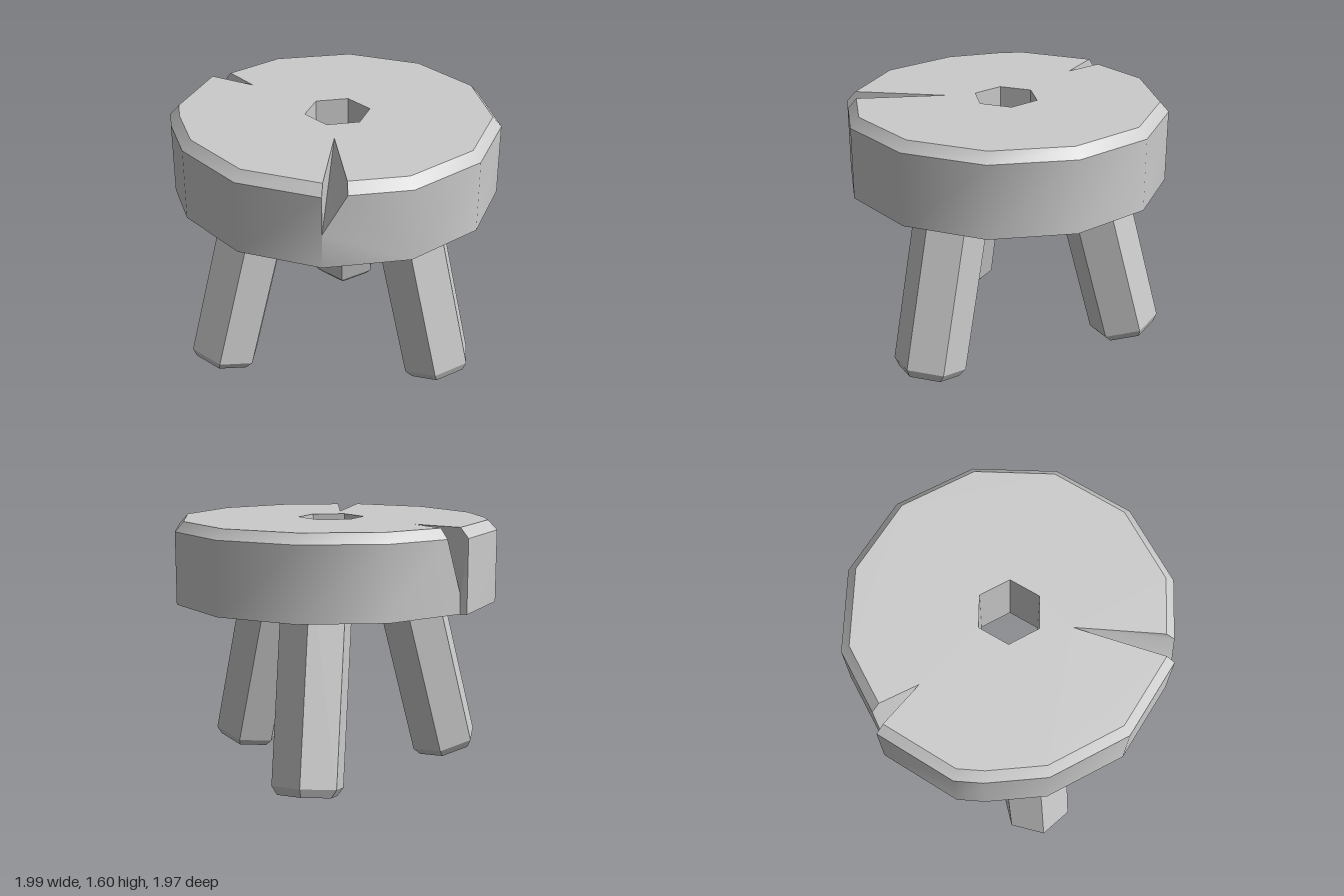
import * as THREE from 'three';
import { toCreasedNormals } from 'three/addons/utils/BufferGeometryUtils.js';

const BOTTOM = 1.1, EDGE = 1.54, TOP = 1.6;
const CENTER = 0.015, RADIUS = 0.985;
const material = new THREE.MeshStandardMaterial({ color: 0xcccccc });

// Plan points are (x, -z), so counter-clockwise as seen from above.
const polar = (r, degrees) => {
  const a = THREE.MathUtils.degToRad(degrees);
  return new THREE.Vector2(CENTER + r * Math.cos(a), r * Math.sin(a));
};
const plan = (x, z) => new THREE.Vector2(x, -z);
const inset = p => new THREE.Vector2(CENTER + (p.x - CENTER) * 0.945, p.y * 0.945);
const at = (p, y) => new THREE.Vector3(p.x, y, -p.y);

function createSeatGeometry() {
  const points = [];
  const face = (...corners) => {
    for (let i = 1; i < corners.length - 1; i++) points.push(corners[0], corners[i], corners[i + 1]);
  };
  const cap = (outline, hole, y, down) => {
    const all = [...outline, ...hole];
    for (const [a, b, c] of THREE.ShapeUtils.triangulateShape(outline, [hole])) {
      const tri = [a, b, c].map(i => at(all[i], y));
      face(...(down ? tri.reverse() : tri));
    }
  };

  // Two wedge-shaped cracks: root is the foot on the rim, floor its height there
  const backCrack = { root: polar(RADIUS, 120), floor: 1.22 };
  const frontCrack = { root: polar(RADIUS, 240), floor: 1.31 };
  const corner = p => ({ p });
  const lip = (x, z, crack) => ({ p: plan(x, z), lip: true, crack });
  const tip = (x, z, crack) => ({ p: plan(x, z), tip: true, crack });

  // Twelve-sided rim, with a loosened chunk at the back beside the crack
  const rim = [
    ...[0, 30, 60, 90].map(d => corner(polar(RADIUS, d))),
    lip(-0.38, -0.88, backCrack), tip(-0.3, -0.59, backCrack),
    corner(plan(-0.51, -0.88)), corner(plan(-0.87, -0.52)), corner(plan(-0.92, -0.36)),
    ...[180, 210, 240].map(d => corner(polar(RADIUS, d))),
    tip(-0.16, 0.33, frontCrack), lip(-0.34, 0.89, frontCrack),
    ...[270, 300, 330].map(d => corner(polar(RADIUS, d))),
  ];

  rim.forEach((a, i) => {
    const b = rim[(i + 1) % rim.length];
    const low = e => at(e.p, BOTTOM), edge = e => at(e.p, EDGE), top = e => at(inset(e.p), TOP);
    const { root, floor } = a.crack || b.crack || {};
    const foot = root && at(root, BOTTOM), apex = root && at(root, floor);
    if (b.tip) {
      face(apex, at(b.p, TOP), top(a), edge(a));
    } else if (a.tip) {
      face(at(a.p, TOP), apex, edge(b), top(b));
      if (!b.lip) face(foot, low(b), edge(b), apex);
    } else {
      face(edge(a), edge(b), top(b), top(a));
      if (a.lip) face(low(b), edge(b), edge(a), apex, foot);
      else if (b.lip) face(low(a), foot, apex, edge(b), edge(a));
      else face(low(a), low(b), edge(b), edge(a));
    }
  });

  // Hexagonal hole through the seat
  const hole = [0, 1, 2, 3, 4, 5].map(i => polar(0.2, -14 - i * 60));
  hole.forEach((a, i) => {
    const b = hole[(i + 1) % 6];
    face(at(a, BOTTOM), at(b, BOTTOM), at(b, TOP), at(a, TOP));
  });

  cap(rim.map(e => (e.tip ? e.p : inset(e.p))), hole, TOP, false);
  const base = rim.filter(e => !e.tip).map(e => (e.lip && e.crack === backCrack ? backCrack.root : e.p));
  const frontLip = rim.findIndex(e => e.lip && e.crack === frontCrack) - 1;
  base.splice(frontLip - 1, 1);
  cap(base, hole, BOTTOM, true);

  return toCreasedNormals(new THREE.BufferGeometry().setFromPoints(points), 0.6);
}

// Hexagonal leg with a bevelled foot; its origin is the centre of the foot
function createLegGeometry() {
  const length = 1.3;
  const profile = [[0, 0], [0.185, 0], [0.222, 0.05], [0.222, length], [0, length]];
  const geometry = new THREE.LatheGeometry(profile.map(([r, y]) => new THREE.Vector2(r, y)), 6);
  geometry.rotateY(Math.PI / 2);
  return toCreasedNormals(geometry, 0.3);
}

export function createModel() {
  const model = new THREE.Group();
  model.name = 'stool';

  const seat = new THREE.Mesh(createSeatGeometry(), material);
  seat.name = 'seat';
  model.add(seat);

  // Three legs splayed evenly around the seat
  const legGeometry = createLegGeometry();
  [['rightLeg', 180], ['frontLeg', -60], ['backLeg', 60]].forEach(([name, degrees]) => {
    const leg = new THREE.Mesh(legGeometry, material);
    leg.position.set(0.79, 0.047, 0);
    leg.rotation.z = THREE.MathUtils.degToRad(14.5);
    const pivot = new THREE.Group();
    pivot.name = name;
    pivot.rotation.y = THREE.MathUtils.degToRad(degrees);
    pivot.add(leg);
    model.add(pivot);
  });
  return model;
}
